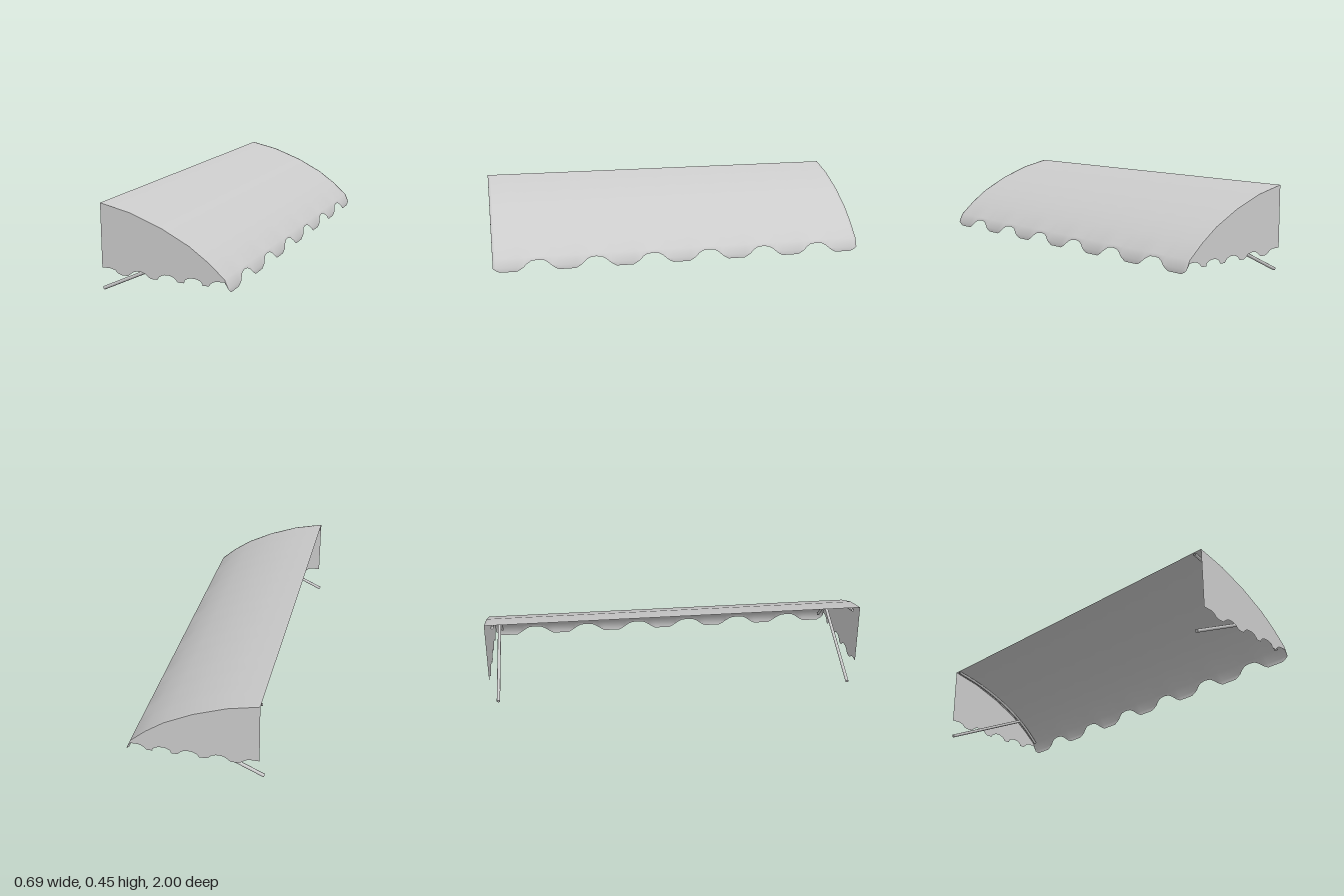
import * as THREE from 'three';

const material = new THREE.MeshStandardMaterial({ color: 0xcccccc, side: THREE.DoubleSide });

// Canopy arc from the wall edge down to the fold of the valance (x, y)
const ARC = [[-0.325, 0.45], [-0.165, 0.415], [0, 0.355], [0.145, 0.282], [0.24, 0.215], [0.323, 0.143]];
// Scallop of the valance: distance from the middle of a lobe, height of the edge
const LOBE = [[0, 0.075], [0.045, 0.075], [0.065, 0.086], [0.08, 0.097], [0.1, 0.115], [0.12, 0.126], [0.1535, 0.13]];
const PITCH = 0.307;

function add(group, name, geometry) {
  const mesh = new THREE.Mesh(geometry, material);
  mesh.name = name;
  group.add(mesh);
  return mesh;
}

// Columns along the width: [z, edge height], from z = 1 to z = -1
function valanceColumns() {
  const columns = [[1, 0.097], [-1, 0.097]];
  for (let i = -3; i <= 3; i++) {
    LOBE.forEach(([d, y], k) => {
      for (const s of k === 0 ? [1] : [-1, 1]) {
        const z = i * PITCH + s * d;
        const shared = k === LOBE.length - 1 && s === 1;
        if (Math.abs(z) < 0.999 && !shared) columns.push([z, y]);
      }
    });
  }
  return columns.sort((a, b) => b[0] - a[0]);
}

// Thin curved sheet with a scalloped front edge
function canopyGeometry() {
  const columns = valanceColumns();
  const rows = ARC.length + 2;
  const geometry = new THREE.PlaneGeometry(1, 1, columns.length - 1, rows - 1);
  const position = geometry.attributes.position;
  const slopeX = (y) => 0.323 + (0.143 - y) * 0.435;
  for (let r = 0; r < rows; r++) {
    columns.forEach(([z, edge], c) => {
      let [x, y] = ARC[Math.min(r, ARC.length - 1)];
      if (r >= ARC.length) {
        // sloping strip, then a short vertical hem on the lobes
        const fold = Math.max(edge, 0.098);
        y = r === ARC.length ? fold : Math.min(edge, fold - 0.001);
        x = slopeX(fold);
      }
      position.setXYZ(r * columns.length + c, x, y, z);
    });
  }
  geometry.computeVertexNormals();
  // Soft shading where the sheet turns into the side panels
  const normal = geometry.attributes.normal;
  const v = new THREE.Vector3();
  for (let i = 0; i < position.count; i++) {
    const z = position.getZ(i);
    if (Math.abs(z) < 0.999) continue;
    v.fromBufferAttribute(normal, i);
    v.z += Math.sign(z) * 0.8;
    v.normalize();
    normal.setXYZ(i, v.x, v.y, v.z);
  }
  return geometry;
}

// Flat side panel with a wavy lower edge
function sidePanelGeometry() {
  const shape = new THREE.Shape();
  shape.moveTo(-0.325, 0.128);
  // lobes: start, middle, end
  const lobes = [[-0.275, -0.2, -0.135], [-0.11, -0.043, 0.015], [0.04, 0.098, 0.15], [0.175, 0.225, 0.285]];
  for (const [a, m, b] of lobes) {
    shape.lineTo(a, 0.128);
    shape.lineTo(a + 0.022, 0.121);
    shape.lineTo(a + 0.036, 0.108);
    shape.lineTo(m - 0.017, 0.1);
    shape.lineTo(m + 0.017, 0.1);
    shape.lineTo(b - 0.03, 0.115);
    shape.lineTo(b - 0.015, 0.124);
    shape.lineTo(b, 0.128);
  }
  shape.lineTo(0.323, 0.128);
  shape.lineTo(0.343, 0.097);
  for (const [x, y] of [...ARC].reverse()) shape.lineTo(x, y);
  shape.closePath();
  return new THREE.ShapeGeometry(shape);
}

// Closed round bar between two points
function barGeometry(from, to, radius) {
  const direction = to.clone().sub(from);
  const geometry = new THREE.CylinderGeometry(radius, radius, direction.length(), 8);
  const turn = new THREE.Quaternion().setFromUnitVectors(new THREE.Vector3(0, 1, 0), direction.normalize());
  geometry.applyQuaternion(turn);
  const middle = from.clone().add(to).multiplyScalar(0.5);
  return geometry.translate(middle.x, middle.y, middle.z);
}

export function createModel() {
  const group = new THREE.Group();
  group.name = 'awning';
  add(group, 'canopy', canopyGeometry());

  const ribPoints = [[-0.327, 0.437], [-0.165, 0.4], [0, 0.34], [0.137, 0.268], [0.23, 0.2], [0.303, 0.131]];
  for (const [side, s] of [['left', 1], ['right', -1]]) {
    const name = s > 0 ? 'front' : 'back';
    add(group, name + 'SidePanel', sidePanelGeometry()).position.z = s;

    // Curved rib under the canopy
    const curve = new THREE.CatmullRomCurve3(ribPoints.map(([x, y]) => new THREE.Vector3(x, y, s * 0.96)));
    add(group, name + 'Rib', new THREE.TubeGeometry(curve, 20, 0.008, 8));

    // Slanted support arm from the wall to the rib
    add(group, name + 'SupportArm', barGeometry(
      new THREE.Vector3(-0.342, 0.009, s * 0.96), new THREE.Vector3(0.165, 0.248, s * 0.96), 0.009));
  }
  return group;
}
